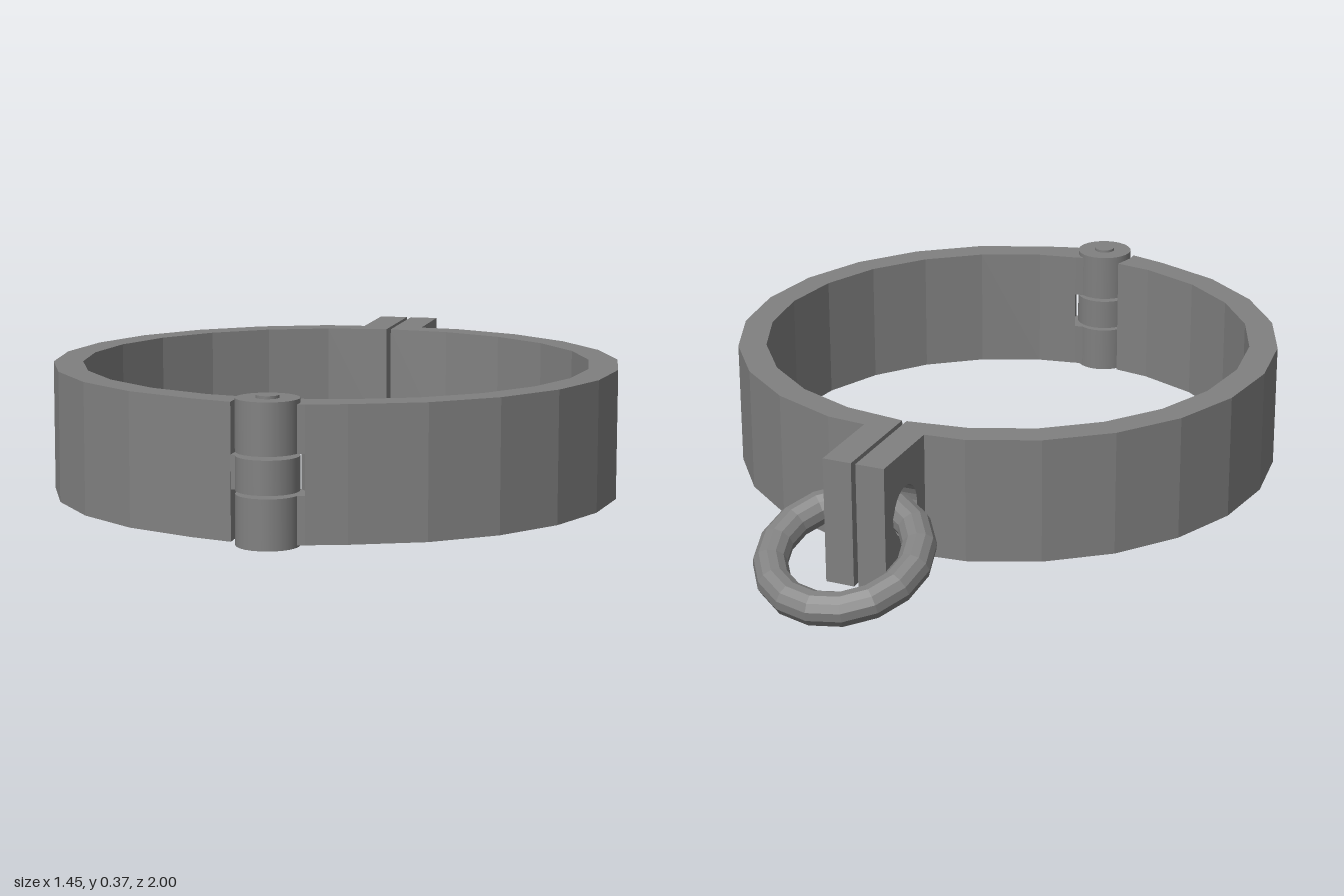
import * as THREE from 'three';

const CENTRE_Z = 0.2, OUTER = 0.725, INNER = 0.65, HEIGHT = 0.33;
const HINGE_Z = 0.915, HINGE_R = 0.076;
const flat = new THREE.MeshStandardMaterial({ color: 0x808080, flatShading: true });
const smooth = new THREE.MeshStandardMaterial({ color: 0x808080 });

function add(parent, name, geometry, material = flat) {
  const mesh = new THREE.Mesh(geometry, material);
  mesh.name = name;
  parent.add(mesh);
  return mesh;
}

// Prism standing on y0, with its outline given as [x, z] points
function prism(points, y0, y1) {
  const shape = new THREE.Shape(points.map(([x, z]) => new THREE.Vector2(x, -z)));
  return new THREE.ExtrudeGeometry(shape, { depth: y1 - y0, bevelEnabled: false })
    .rotateX(-Math.PI / 2).translate(0, y0, 0);
}

// Faceted arc of one half of the band, from the back to the front
function arc(radius) {
  const points = [];
  for (let deg = 75; deg >= -75; deg -= 15) {
    const a = THREE.MathUtils.degToRad(deg);
    points.push([radius * Math.cos(a), CENTRE_Z - radius * Math.sin(a)]);
  }
  return points;
}

// Half band; side is +1 or -1, end is its edge beside the hinge
function halfBand(side, end) {
  const points = [
    [0.006, -0.51], [0.082, -0.51], ...arc(OUTER), ...end,
    ...arc(INNER).reverse(), [0.006, -0.45],
  ];
  return prism(points.map(([x, z]) => [side * x, z]), 0, HEIGHT);
}

// Upright lug with a round hole, lying in the z-y plane
function lugGeometry(side) {
  const shape = new THREE.Shape([
    new THREE.Vector2(0.5, 0), new THREE.Vector2(0.737, 0),
    new THREE.Vector2(0.737, HEIGHT), new THREE.Vector2(0.5, HEIGHT),
  ]);
  const hole = new THREE.Path();
  hole.absarc(0.622, 0.172, 0.066, 0, Math.PI * 2, true);
  shape.holes.push(hole);
  return new THREE.ExtrudeGeometry(shape, { depth: 0.076, bevelEnabled: false, curveSegments: 12 })
    .rotateY(Math.PI / 2).translate(side > 0 ? 0.006 : -0.082, 0, 0);
}

export function createModel() {
  const model = new THREE.Group();
  model.name = 'shackle';

  // Cuff, tipped very slightly up at the front
  const cuff = new THREE.Group();
  cuff.name = 'cuff';
  cuff.position.set(0, 0.01, 0.009);
  cuff.rotation.x = -0.0133;
  model.add(cuff);

  add(cuff, 'leftBand', halfBand(1, [[0.092, 0.929], [0.092, 0.905], [0.083, 0.872], [0.064, 0.846]]));
  add(cuff, 'rightBand', halfBand(-1, [[0.085, 0.93], [0.085, 0.9], [0.07, 0.845]]));
  add(cuff, 'leftLug', lugGeometry(1));
  add(cuff, 'rightLug', lugGeometry(-1));

  // Hinge: outer knuckles belong to the left band, the middle one to the right
  const outerLeaf = [[0.03, 0.855], [0.064, 0.846], [0.095, 0.846], [0.095, 0.928], [0.03, 0.94]];
  const middleLeaf = [[-0.03, 0.885], [-0.095, 0.885], [-0.095, 0.927], [-0.03, 0.935]];
  const knuckles = [
    ['lowerKnuckle', -0.006, 0.116, outerLeaf],
    ['middleKnuckle', 0.124, 0.206, middleLeaf],
    ['upperKnuckle', 0.215, 0.341, outerLeaf],
  ];
  for (const [name, y0, y1, leaf] of knuckles) {
    add(cuff, name, new THREE.CylinderGeometry(HINGE_R, HINGE_R, y1 - y0, 24)
      .translate(0, (y0 + y1) / 2, HINGE_Z), smooth);
    add(cuff, name + 'Leaf', prism(leaf, Math.max(y0, 0), Math.min(y1, HEIGHT)));
  }
  add(cuff, 'hingePin', new THREE.CylinderGeometry(0.028, 0.028, 0.361, 16)
    .translate(0, 0.1675, HINGE_Z), smooth);

  // Loose ring hanging through the lugs
  const ring = add(model, 'ring', new THREE.TorusGeometry(0.183, 0.043, 12, 16)
    .rotateX(Math.PI / 2));
  ring.rotation.x = -THREE.MathUtils.degToRad(22);
  ring.position.set(0, 0.115, -0.786);

  return model;
}
